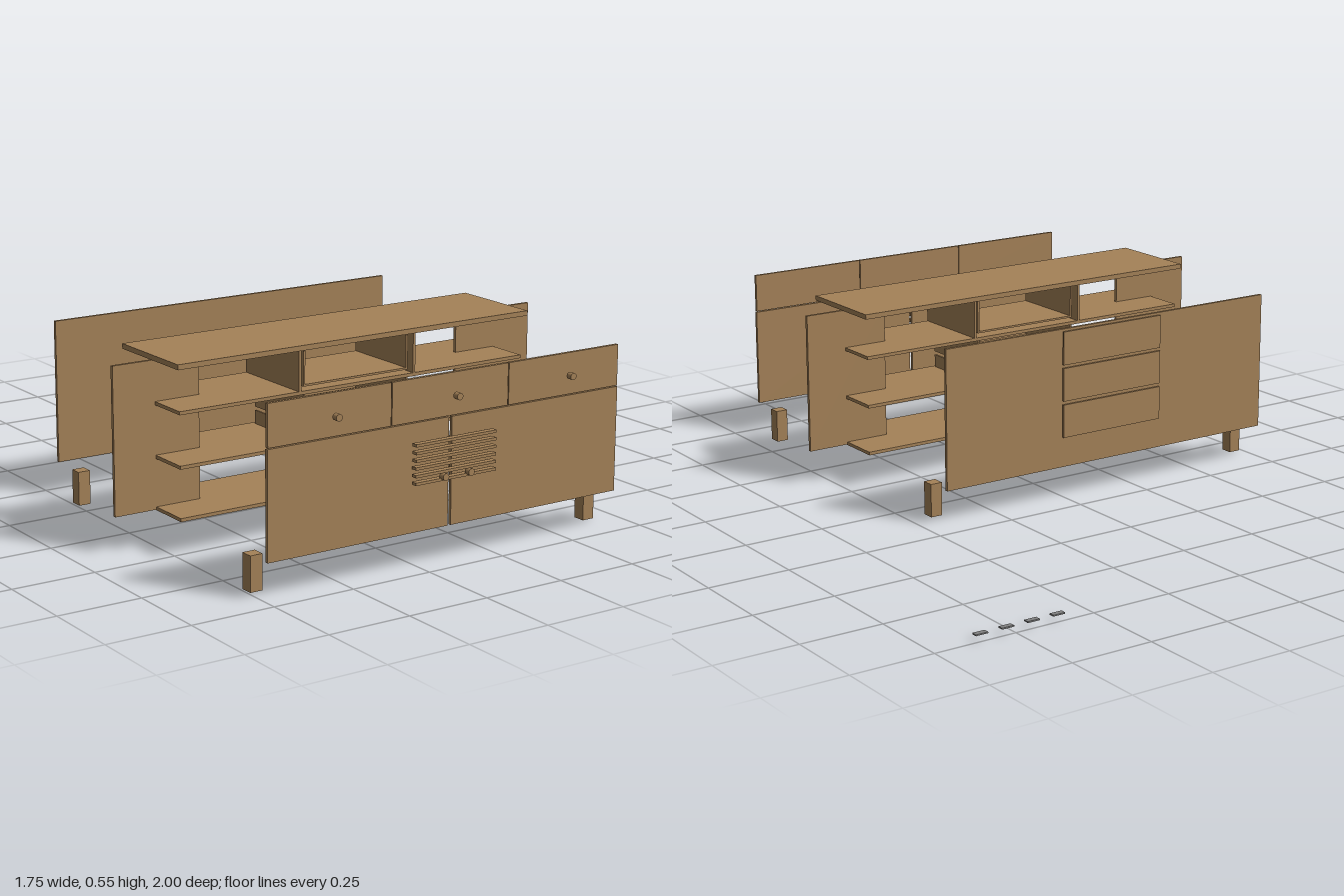
import * as THREE from 'three';

// Exploded sideboard: every panel floats clear of its neighbours.
export function createModel() {
  const model = new THREE.Group();
  model.name = 'explodedSideboard';
  const wood = new THREE.MeshStandardMaterial({ color: 0xa58258 });
  wood.name = 'wood';
  const grey = new THREE.MeshStandardMaterial({ color: 0x808080 });
  grey.name = 'greyPad';
  const cx = -0.155, cz = 0.389; // centre of the carcass

  // Box from its minimum and maximum on each axis
  function box(name, [x0, x1], [y0, y1], [z0, z1], material = wood) {
    const mesh = new THREE.Mesh(new THREE.BoxGeometry(x1 - x0, y1 - y0, z1 - z0), material);
    mesh.position.set((x0 + x1) / 2, (y0 + y1) / 2, (z0 + z1) / 2);
    mesh.name = name;
    model.add(mesh);
    return mesh;
  }
  const around = (c, half) => [c - half, c + half];

  // Top and three full-width shelves
  box('top', around(cx, 0.6), [0.535, 0.55], around(cz, 0.15));
  for (const y of [0.103, 0.252, 0.405])
    box('shelf', around(cx, 0.588), [y, y + 0.01], around(cz, 0.1365));

  // Side panels, lying in the plane of the front
  for (const s of [-1, 1])
    box('sidePanel', around(cx + s * 0.583, 0.1365), [0.105, 0.533], around(cz, 0.005));

  // Dividers between the upper shelf and the top
  for (const s of [-1, 1])
    box('divider', around(cx + s * 0.197, 0.004), [0.415, 0.535], around(cz, 0.1365));

  // Inner trays, open at both ends, with their covers pushed out behind
  for (const y of [0.2, 0.313, 0.425]) {
    box('trayBottom', around(cx, 0.18), [y, y + 0.006], around(cz + 0.002, 0.126));
    for (const s of [-1, 1])
      box('traySide', around(cx + s * 0.177, 0.003), [y, y + 0.102], around(cz + 0.002, 0.126));
    box('trayCover', around(cx, 0.18), [y, y + 0.102], [-0.197, -0.19]);
  }

  // Back panel
  box('backPanel', around(cx, 0.588), [0.105, 0.533], [-0.185, -0.175]);

  // Drawer fronts and doors
  const frontZ = [0.949, 0.959];
  for (const i of [-1, 0, 1])
    box('drawerFront', around(cx + i * 0.392, 0.1945), [0.414, 0.533], frontZ);
  for (const s of [-1, 1])
    box('door', around(cx + s * 0.2965, 0.2915), [0.105, 0.411], frontZ);

  // Slats in front of the doors
  for (let i = 0; i < 6; i++)
    box('slat', around(cx, 0.135), around(0.356 - i * 0.0213, 0.004), [0.97, 0.988]);

  // Round knobs
  const knobGeometry = new THREE.CylinderGeometry(0.01, 0.01, 0.018, 24).rotateX(Math.PI / 2);
  for (const [dx, y] of [[-0.392, 0.475], [0, 0.475], [0.392, 0.475], [-0.043, 0.258], [0.043, 0.258]]) {
    const knob = new THREE.Mesh(knobGeometry, wood);
    knob.name = 'knob';
    knob.position.set(cx + dx, y, 0.991);
    model.add(knob);
  }

  // Four legs
  for (const s of [-1, 1])
    for (const z of [0.855, -0.076])
      box('leg', around(cx + s * 0.568, 0.019), [0, 0.102], around(z, 0.019));

  // Small foot pads, set apart behind
  for (let i = 0; i < 4; i++)
    box('footPad', around(0.612 + i * 0.081, 0.019), [0.018, 0.022], [-1, -0.983], grey);

  return model;
}
